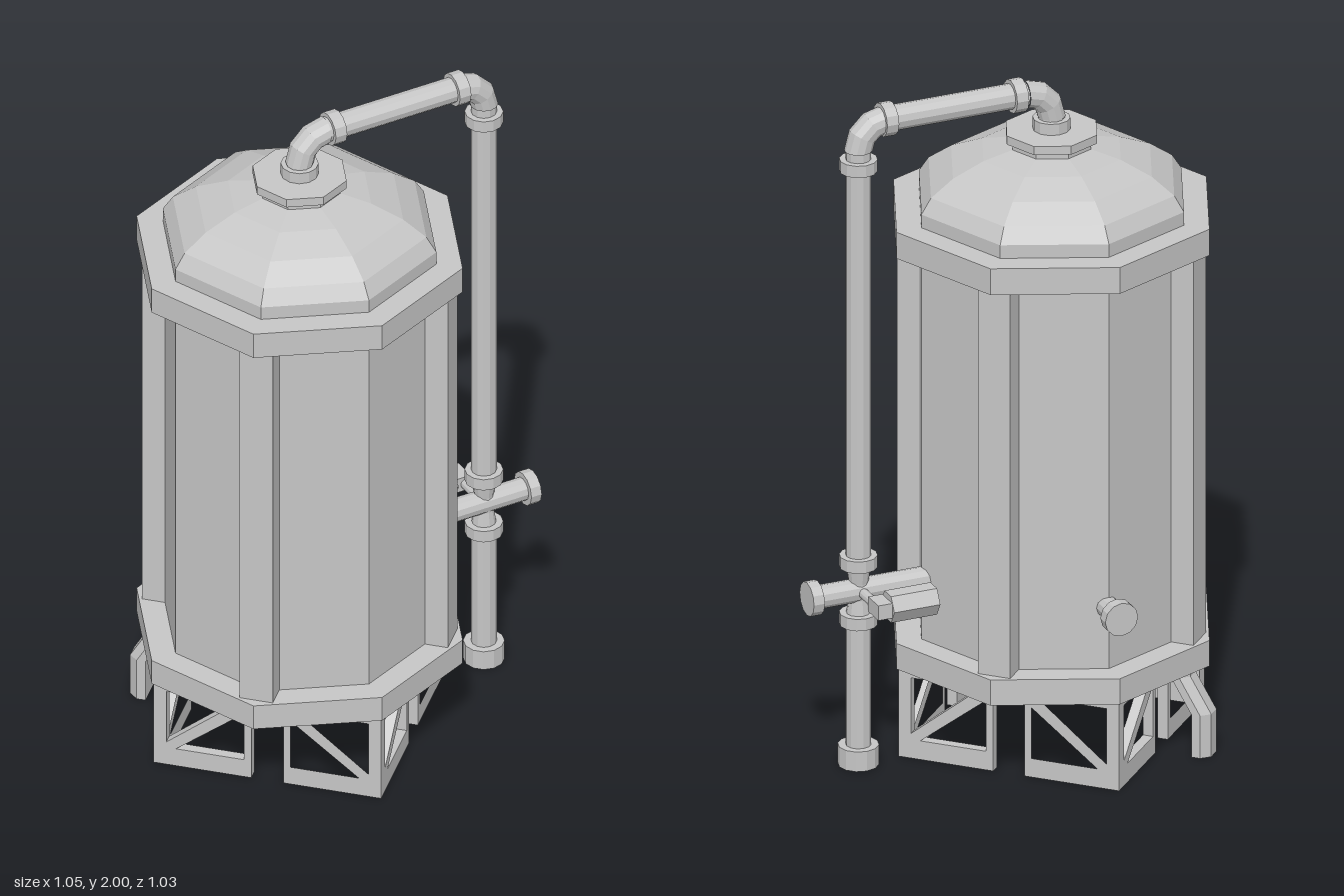
import * as THREE from 'three';

const steel = new THREE.MeshStandardMaterial({ color: 0xc6c6c6, flatShading: true });
steel.name = 'grey steel';

function add(parent, name, geometry, x = 0, y = 0, z = 0) {
  const mesh = new THREE.Mesh(geometry, steel);
  mesh.name = name;
  mesh.position.set(x, y, z);
  parent.add(mesh);
  return mesh;
}

// Upright prism or pipe between two heights
function upright(parent, name, r, y0, y1, sides = 12, x = 0) {
  return add(parent, name, new THREE.CylinderGeometry(r, r, y1 - y0, sides), x, (y0 + y1) / 2);
}

// Horizontal pipe along local x
function alongX(parent, name, r, x0, x1, y, z = 0, sides = 12) {
  const g = new THREE.CylinderGeometry(r, r, x1 - x0, sides).rotateZ(-Math.PI / 2);
  return add(parent, name, g, (x0 + x1) / 2, y, z);
}

// Horizontal pipe along local z
function alongZ(parent, name, r, z0, z1, y, x = 0) {
  const g = new THREE.CylinderGeometry(r, r, z1 - z0, 12).rotateX(Math.PI / 2);
  return add(parent, name, g, x, y, (z0 + z1) / 2);
}

const vectors = (list) => list.map(([x, y]) => new THREE.Vector2(x, y));

// One braced leg panel; s = 1 or -1 chooses the side of the corner
function legPanel(s) {
  const side = (list) => vectors(list.map(([x, y]) => [x * s, y]));
  const shape = new THREE.Shape(side([[0, 0], [0.283, 0], [0.283, 0.275], [0, 0.275]]));
  shape.holes.push(new THREE.Path(side([[0.065, 0.057], [0.262, 0.057], [0.262, 0.212]])));
  shape.holes.push(new THREE.Path(side([[0.037, 0.075], [0.245, 0.245], [0.037, 0.245]])));
  const depth = 0.03;
  return new THREE.ExtrudeGeometry(shape, { depth, bevelEnabled: false }).translate(0, 0, -depth);
}

// Chamfered section swept upward, cranked inward between the two middle heights
function chuteGeometry() {
  const section = new THREE.Shape(vectors([
    [-0.434, -0.042], [-0.434, 0.042], [-0.46, 0.042], [-0.485, 0.02], [-0.485, -0.02], [-0.46, -0.042]]));
  const heights = [0, 0.13, 0.235, 0.275], shifts = [0, 0, 0.062, 0.062];
  const g = new THREE.ExtrudeGeometry(section, { depth: 3, steps: 3, bevelEnabled: false });
  g.rotateX(-Math.PI / 2);
  const p = g.attributes.position;
  for (let i = 0; i < p.count; i++) {
    const row = Math.round(p.getY(i));
    p.setX(i, p.getX(i) + shifts[row]);
    p.setY(i, heights[row]);
  }
  g.computeVertexNormals();
  return g;
}

export function createModel() {
  const model = new THREE.Group();
  model.name = 'storageTank';
  const tank = new THREE.Group();
  tank.name = 'tank';
  tank.position.set(-0.04, 0, 0.04);
  model.add(tank);

  // Eight-sided shell with two collars
  upright(tank, 'shell', 0.396, 0.3, 1.56, 8);
  upright(tank, 'lowerCollar', 0.472, 0.267, 0.345, 8);
  upright(tank, 'upperCollar', 0.472, 1.52, 1.6, 8);

  // Box ribs on four of the corners
  for (let i = 0; i < 4; i++) {
    const g = new THREE.BoxGeometry(0.096, 1.2, 0.09);
    g.translate(0, 0.935, 0.398).rotateY((i * Math.PI) / 2);
    add(tank, 'rib', g);
  }

  // Faceted dome and cap
  const dome = [[0.396, 1.6], [0.396, 1.64], [0.367, 1.685], [0.3, 1.732], [0.207, 1.769], [0.12, 1.787], [0, 1.787]];
  add(tank, 'dome', new THREE.LatheGeometry(vectors(dome), 8));
  upright(tank, 'capNeck', 0.118, 1.775, 1.81, 8);
  upright(tank, 'cap', 0.136, 1.807, 1.833, 8);

  // Four square corner legs, each with two braced panels at right angles
  for (let i = 0; i < 4; i++) {
    const leg = new THREE.Group();
    leg.name = 'leg';
    leg.rotation.y = Math.PI / 4 + (i * Math.PI) / 2;
    tank.add(leg);
    for (const s of [1, -1]) {
      add(leg, 'legPanel', legPanel(s), 0, 0, 0.466).rotation.y = (s * Math.PI) / 4;
    }
  }

  // Cranked drain chute under the right side
  add(tank, 'drainChute', chuteGeometry());

  // Pipework runs along the back left diagonal (local x)
  const pipes = new THREE.Group();
  pipes.name = 'pipework';
  pipes.rotation.y = Math.PI / 4;
  tank.add(pipes);
  const px = 0.588, top = 1.952, bend = 0.08, mid = 0.53;

  // Riser from the cap, top run and elbows
  upright(pipes, 'riser', 0.038, 1.82, top - bend);
  upright(pipes, 'riserFlange', 0.053, 1.833, 1.867);
  const elbow = () => new THREE.TorusGeometry(bend, 0.04, 12, 3, Math.PI / 2);
  add(pipes, 'riserElbow', elbow(), bend, top - bend, 0).rotation.z = Math.PI / 2;
  add(pipes, 'downElbow', elbow(), px - bend, top - bend, 0);
  alongX(pipes, 'topPipe', 0.037, bend, px - bend, top);
  for (const x of [0.107, 0.503]) alongX(pipes, 'topFlange', 0.049, x - 0.018, x + 0.018, top);

  // Downpipe with foot and flanges
  upright(pipes, 'downPipeUpper', 0.036, 0.62, top - bend, 12, px);
  upright(pipes, 'downPipeLower', 0.036, 0, 0.45, 12, px);
  upright(pipes, 'foot', 0.058, 0, 0.06, 12, px);
  for (const y of [0.445, 0.62, 1.828]) upright(pipes, 'pipeFlange', 0.054, y - 0.018, y + 0.018, 12, px);

  // Waisted valve body
  const valve = [[0.037, 0.445], [0.028, 0.505], [0.028, 0.555], [0.037, 0.62]];
  add(pipes, 'valveBody', new THREE.LatheGeometry(vectors(valve), 12), px);

  // Cross pipe from the shell through the valve to the end flange
  alongX(pipes, 'crossPipe', 0.034, 0.34, 0.72, mid);
  alongX(pipes, 'endFlange', 0.05, 0.712, 0.745, mid);

  // Valve stem and hexagonal handle
  alongZ(pipes, 'valveStem', 0.015, -0.14, 0, mid, 0.585);
  add(pipes, 'handleBlock', new THREE.BoxGeometry(0.045, 0.045, 0.07), 0.58, mid, -0.135);
  alongX(pipes, 'valveHandle', 0.046, 0.42, 0.56, mid, -0.139, 6);

  // Capped outlet on the back right corner
  alongZ(pipes, 'outletPipe', 0.032, -0.46, -0.35, mid);
  alongZ(pipes, 'outletCap', 0.05, -0.484, -0.45, mid);

  return model;
}
